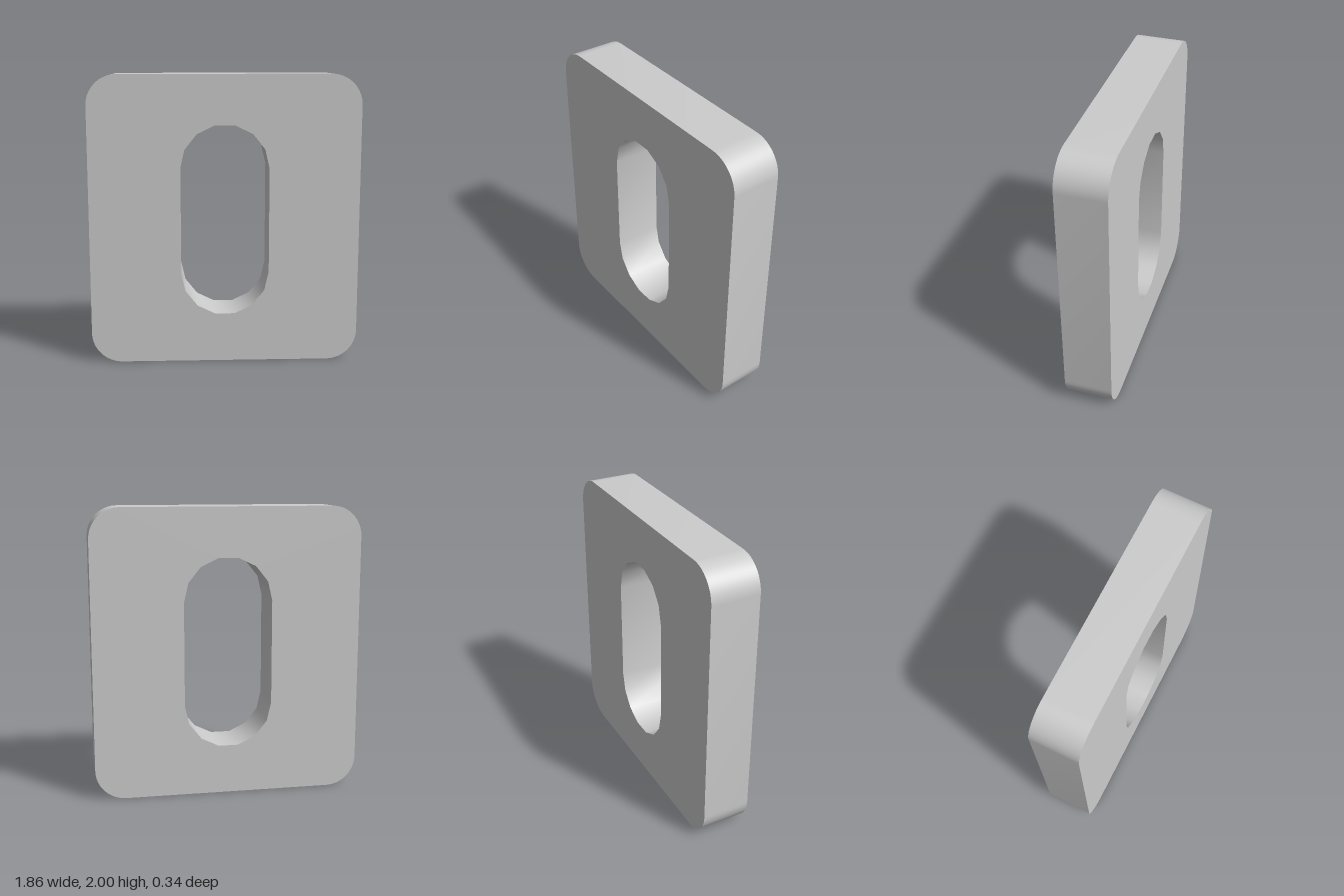
import * as THREE from 'three';
import { toCreasedNormals } from 'three/addons/utils/BufferGeometryUtils.js';

const HALF_W = 0.93, HEIGHT = 2, DEPTH = 0.335, CORNER = 0.21;
const SLOT_R = 0.305, SLOT_LOW = 0.64, SLOT_HIGH = 1.36;

// Points of an arc from one angle to another
function arc(cx, cy, r, start, sweep, segments) {
  return Array.from({ length: segments + 1 }, (_, i) => {
    const a = start + (sweep * i) / segments;
    return new THREE.Vector2(cx + r * Math.cos(a), cy + r * Math.sin(a));
  });
}

export function createModel() {
  const group = new THREE.Group();
  group.name = 'slottedPlate';

  // Rounded rectangular outline, corner by corner
  const x = HALF_W - CORNER, low = CORNER, high = HEIGHT - CORNER, q = Math.PI / 2;
  const corners = [[x, high], [-x, high], [-x, low], [x, low]];
  const outline = new THREE.Shape(
    corners.flatMap(([cx, cy], i) => arc(cx, cy, CORNER, i * q, q, 16))
  );

  // Upright slot with coarse, seven-sided round ends
  outline.holes.push(new THREE.Path([
    ...arc(0, SLOT_HIGH, SLOT_R, 0, Math.PI, 7),
    ...arc(0, SLOT_LOW, SLOT_R, Math.PI, Math.PI, 7),
  ]));

  // Flat plate with sharp rims and smooth rounded walls
  const solid = new THREE.ExtrudeGeometry(outline, { depth: DEPTH, bevelEnabled: false });
  solid.translate(0, 0, -DEPTH / 2);
  const plate = new THREE.Mesh(
    toCreasedNormals(solid, 0.6),
    new THREE.MeshStandardMaterial({ color: 0xcccccc })
  );
  plate.name = 'plate';
  group.add(plate);
  return group;
}
